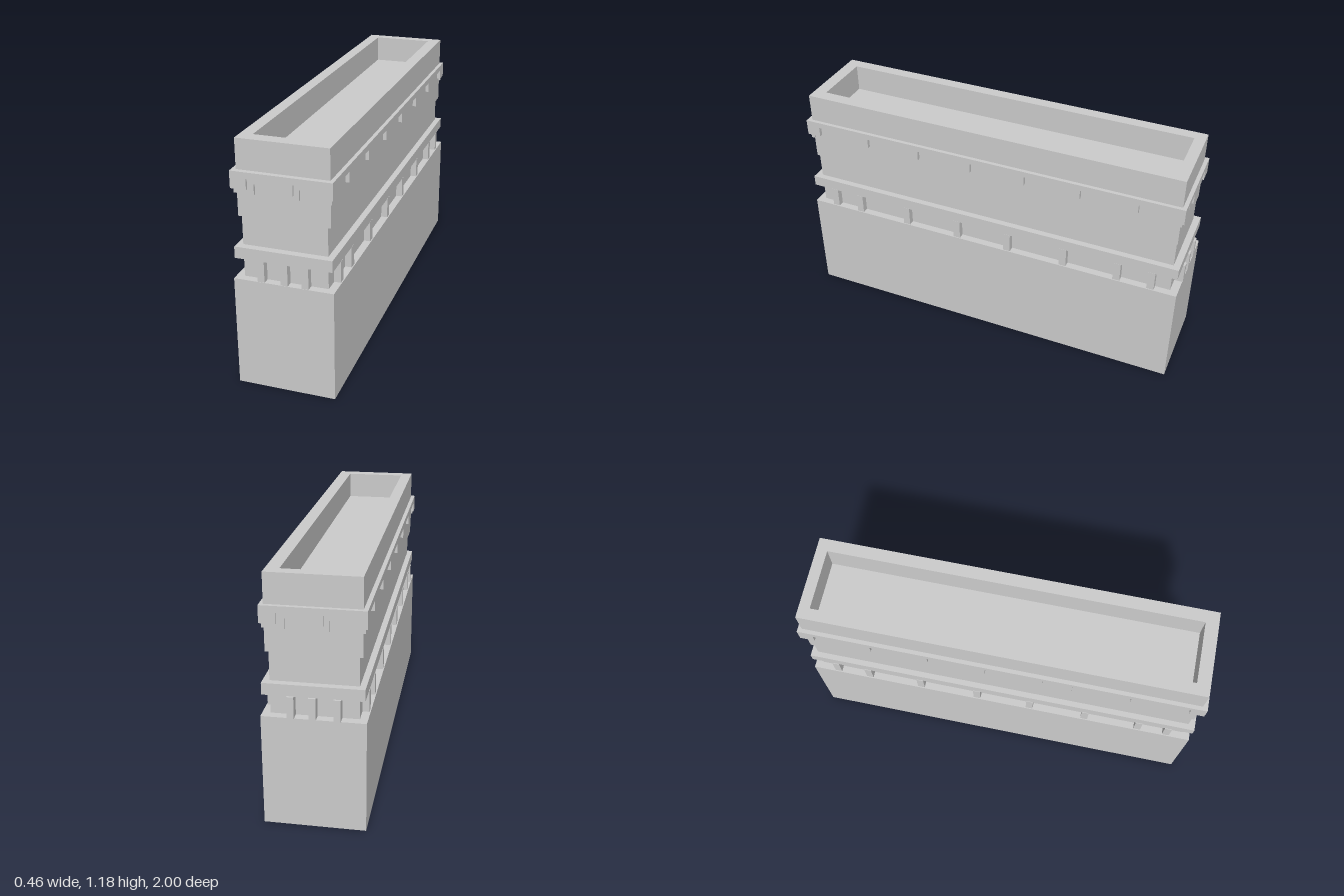
import * as THREE from 'three';

const material = new THREE.MeshStandardMaterial({ color: 0xcccccc, flatShading: true });

export function createModel() {
  const model = new THREE.Group();
  model.name = 'parapetBlock';

  const add = (name, geometry) => {
    const mesh = new THREE.Mesh(geometry, material);
    mesh.name = name;
    model.add(mesh);
    return mesh;
  };

  // Box given by its limits on each axis
  const block = (name, [x0, x1], [y0, y1], [z0, z1]) => {
    const mesh = add(name, new THREE.BoxGeometry(x1 - x0, y1 - y0, z1 - z0));
    mesh.position.set((x0 + x1) / 2, (y0 + y1) / 2, (z0 + z1) / 2);
    return mesh;
  };

  // Strip from a to b with rectangular notches cut up into its lower edge
  const notchedStrip = (name, a, b, bottom, notchTop, top, notches, depth) => {
    const shape = new THREE.Shape();
    shape.moveTo(a, top);
    shape.lineTo(a, bottom);
    for (const [n0, n1] of notches) {
      shape.lineTo(n0, bottom);
      shape.lineTo(n0, notchTop);
      shape.lineTo(n1, notchTop);
      shape.lineTo(n1, bottom);
    }
    shape.lineTo(b, bottom);
    shape.lineTo(b, top);
    shape.closePath();
    return add(name, new THREE.ExtrudeGeometry(shape, { depth, bevelEnabled: false }));
  };

  // Stacked solid masses
  block('base', [-0.233, 0.231], [0, 0.535], [-0.997, 1]);
  block('core', [-0.197, 0.195], [0.53, 0.83], [-0.958, 0.964]);
  block('ledge', [-0.225, 0.225], [0.635, 0.69], [-0.99, 0.998]);
  block('upperBody', [-0.212, 0.21], [0.825, 1.045], [-0.964, 0.968]);

  // Rim around the sunken top
  const rim = new THREE.Shape([
    [-0.212, -0.968], [0.21, -0.968], [0.21, 0.964], [-0.212, 0.964],
  ].map(([x, y]) => new THREE.Vector2(x, y)));
  rim.holes.push(new THREE.Path([
    [-0.155, -0.905], [-0.155, 0.91], [0.148, 0.91], [0.148, -0.905],
  ].map(([x, y]) => new THREE.Vector2(x, y))));
  const rimMesh = add('rim', new THREE.ExtrudeGeometry(rim, { depth: 0.135, bevelEnabled: false }));
  rimMesh.rotation.x = -Math.PI / 2;
  rimMesh.position.y = 1.045;

  // Short posts under the ledge, on the long sides and on both ends
  const h = 0.018;
  for (const z of [0.877, 0.727, 0.449, 0.16, -0.118, -0.417, -0.695, -0.866]) {
    block('sidePostLeft', [0.19, 0.226], [0.535, 0.636], [z - h, z + h]);
    block('sidePostRight', [-0.228, -0.19], [0.535, 0.636], [z - h, z + h]);
  }
  for (const x of [-0.105, 0.003, 0.099]) {
    block('frontPost', [x - 0.016, x + 0.016], [0.535, 0.636], [0.95, 0.998]);
    block('backPost', [x - 0.016, x + 0.016], [0.535, 0.636], [-1, -0.95]);
  }

  // Notched band on the ends, with a thinner notched layer beneath it
  const endNotches = [[-0.158, -0.048], [0.052, 0.153]];
  const lowNotches = [[-0.128, -0.07], [0.075, 0.118]];
  for (const [side, z, lowZ] of [['front', 0.962, 0.96], ['back', -0.983, -0.973]]) {
    notchedStrip(side + 'Band', -0.232, 0.228, 0.96, 1.01, 1.04, endNotches, side === 'front' ? 0.03 : 0.025)
      .position.z = z;
    notchedStrip(side + 'LowerBand', -0.222, 0.219, 0.937, 0.985, 1.035, lowNotches, side === 'front' ? 0.02 : 0.015)
      .position.z = lowZ;
  }

  // Notched band along the long sides
  const sideNotches = [];
  for (let i = 0; i < 7; i++) {
    const centre = -0.839 + i * 0.2815;
    sideNotches.push([centre - 0.071, centre + 0.071]);
  }
  for (const [name, x] of [['leftBand', 0.228], ['rightBand', -0.207]]) {
    const strip = notchedStrip(name, -0.982, 0.991, 0.96, 1.01, 1.04, sideNotches, 0.025);
    strip.rotation.y = -Math.PI / 2;
    strip.position.x = x;
  }

  return model;
}
